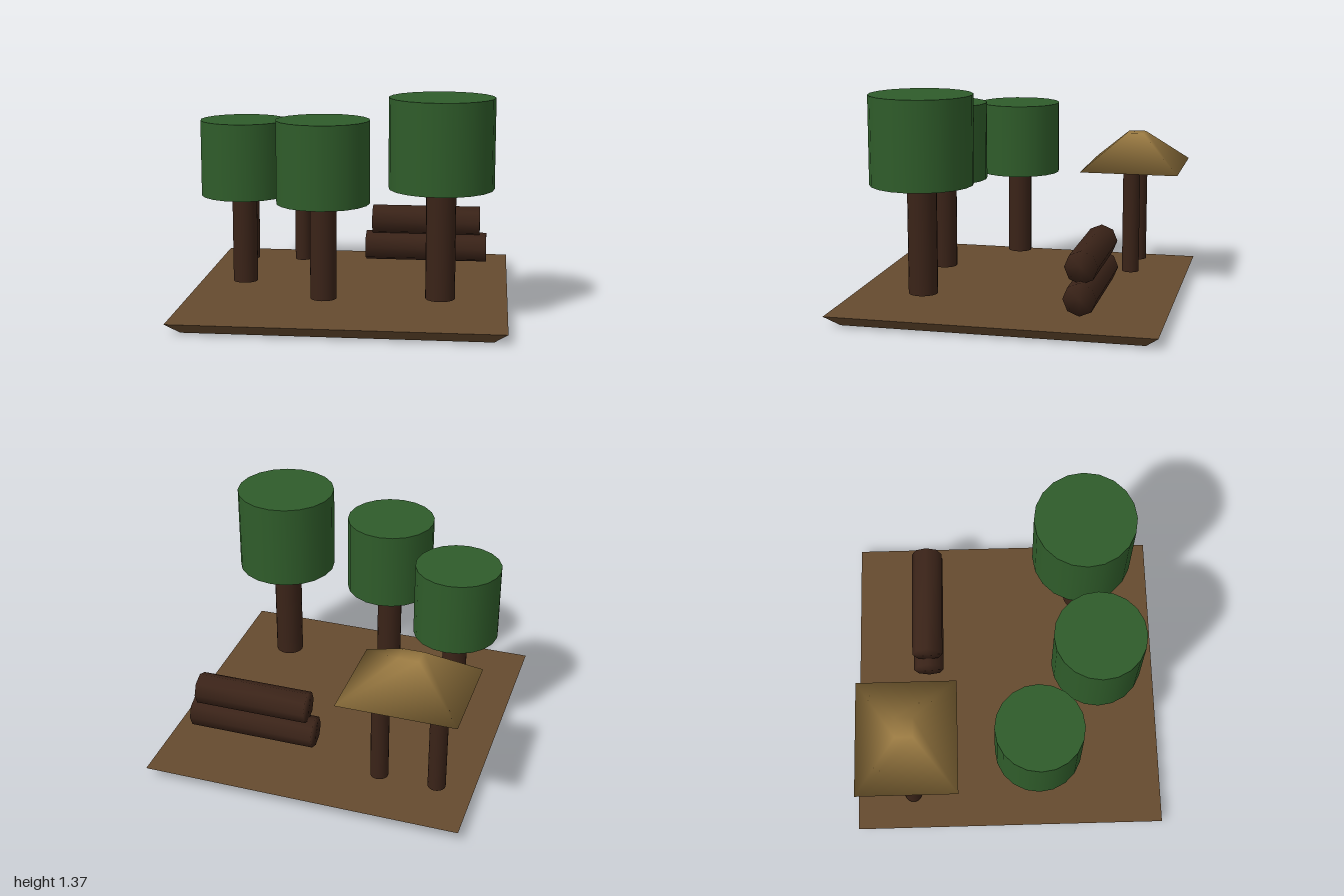
import * as THREE from 'three';
import { mergeVertices } from 'three/addons/utils/BufferGeometryUtils.js';

const material = (color) => new THREE.MeshStandardMaterial({ color });

// Share all corners so shading flows across the edges
function soften(geometry) {
  geometry.deleteAttribute('normal');
  geometry.deleteAttribute('uv');
  const merged = mergeVertices(geometry);
  merged.computeVertexNormals();
  return merged;
}

// Box whose top and bottom faces have their own width and depth
function taperedBox(bottom, top, height) {
  const geometry = new THREE.BoxGeometry(1, height, 1);
  const p = geometry.attributes.position;
  for (let i = 0; i < p.count; i++) {
    const size = p.getY(i) > 0 ? top : bottom;
    p.setX(i, p.getX(i) * size[0]);
    p.setZ(i, p.getZ(i) * size[1]);
  }
  geometry.translate(0, height / 2, 0);
  geometry.computeVertexNormals();
  return geometry;
}

export function createModel() {
  const model = new THREE.Group();
  const earth = material(0x654a2f);
  const bark = material(0x3a2318);
  const leaf = material(0x2f5c2a);
  const thatch = material(0x9a7a42);

  function add(parent, name, geometry, mat, x, y, z) {
    const mesh = new THREE.Mesh(geometry, mat);
    mesh.name = name;
    mesh.position.set(x, y, z);
    parent.add(mesh);
    return mesh;
  }
  // Upright cylinder between two heights
  function column(parent, name, mat, r, x, z, y0, y1) {
    const geometry = new THREE.CylinderGeometry(r, r, y1 - y0, 20);
    add(parent, name, geometry, mat, x, (y0 + y1) / 2, z);
  }

  // Ground slab, narrower underneath
  add(model, 'ground', taperedBox([1.84, 1.84], [2, 2], 0.07), earth, 0, 0, 0);

  // Trees: x, z, trunk radius, crown radius, crown bottom, crown top
  const trees = [
    [-0.665, 0.18, 0.078, 0.27, 0.7, 1.175],
    [-0.115, 0.565, 0.08, 0.283, 0.73, 1.23],
    [0.59, 0.5, 0.09, 0.317, 0.82, 1.365],
  ];
  for (const [x, z, trunkR, crownR, y0, y1] of trees) {
    const tree = new THREE.Group();
    tree.name = 'tree';
    column(tree, 'trunk', bark, trunkR, x, z, 0.14, y0 + 0.02);
    column(tree, 'crown', leaf, crownR, x, z, y0, y1);
    model.add(tree);
  }

  // Shelter: two posts under a softly shaded roof
  const shelter = new THREE.Group();
  shelter.name = 'shelter';
  for (const x of [-0.775, -0.41]) column(shelter, 'post', bark, 0.056, x, -0.635, 0.095, 0.785);
  const roof = soften(taperedBox([0.73, 0.635], [0.125, 0.11], 0.225));
  add(shelter, 'roof', roof, thatch, -0.59, 0.78, -0.637);
  model.add(shelter);

  // Two stacked eight-sided logs: length, height of the axis
  const logs = new THREE.Group();
  logs.name = 'logPile';
  for (const [length, y] of [[0.815, 0.23], [0.725, 0.41]]) {
    const log = soften(new THREE.CylinderGeometry(0.1, 0.1, length, 8)).rotateZ(Math.PI / 2);
    add(logs, 'log', log, bark, 0.452, y, -0.522);
  }
  model.add(logs);

  return model;
}
